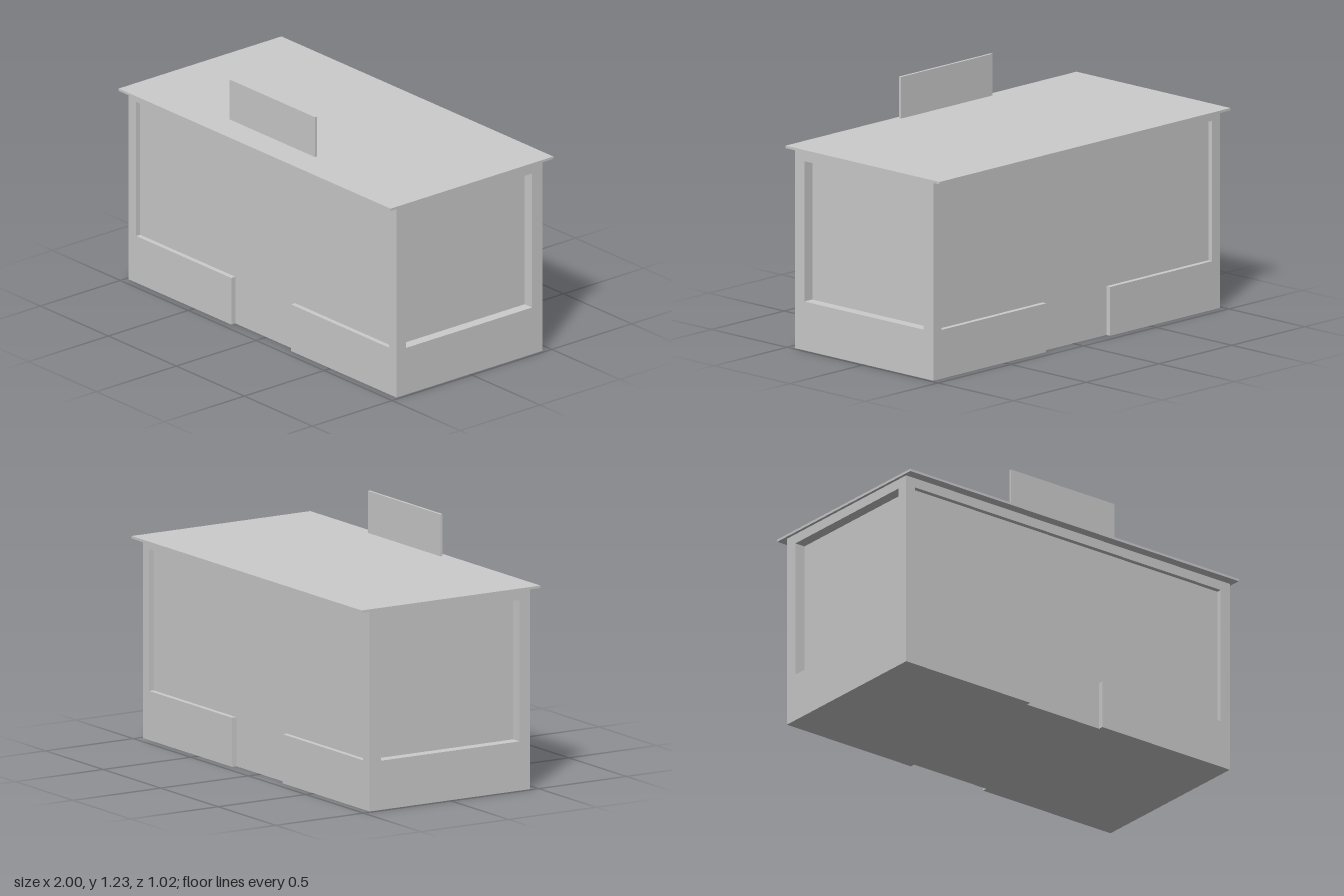
import * as THREE from 'three';

const mat = new THREE.MeshStandardMaterial({ color: 0xcccccc });

export function createModel() {
  const group = new THREE.Group();

  const add = (name, geometry) => {
    const mesh = new THREE.Mesh(geometry, mat);
    mesh.name = name;
    group.add(mesh);
    return mesh;
  };
  // box given by its min and max corners
  const box = (name, [x0, y0, z0], [x1, y1, z1]) =>
    add(name, new THREE.BoxGeometry(x1 - x0, y1 - y0, z1 - z0)
      .translate((x0 + x1) / 2, (y0 + y1) / 2, (z0 + z1) / 2));
  const polygon = (pts) => pts.map(([x, y]) => new THREE.Vector2(x, y));

  const outX = 0.985, inX = 0.93;          // outer wall and recessed panel
  const front = 0.46, back = -0.455;       // outer wall in z
  const recess = 0.025;                    // recess of the long walls
  const sill = 0.24, lintel = 0.93, top = 0.98;

  // recessed wall panels as one solid core
  box('wallPanels', [-inX, 0, back + recess], [inX, top, front - recess]);

  // end frames: corner posts, plinth and lintel around a window recess
  const end = new THREE.Shape(polygon([[-front, 0], [-back, 0], [-back, top], [-front, top]]));
  end.holes.push(new THREE.Path(polygon([[-0.40, sill], [-0.40, lintel], [0.39, lintel], [0.39, sill]])));
  for (const x of [inX, -outX]) {
    const geo = new THREE.ExtrudeGeometry(end, { depth: outX - inX, bevelEnabled: false });
    geo.rotateY(Math.PI / 2).translate(x, 0, 0); // shape x becomes -z
    add(x > 0 ? 'leftEndFrame' : 'rightEndFrame', geo);
  }

  // long walls: split plinth with a doorway gap, and a lintel
  for (const [side, z0, z1] of [['front', front - recess, front], ['back', back, back + recess]]) {
    box(side + 'PlinthRight', [-inX, 0, z0], [-0.23, sill, z1]);
    box(side + 'PlinthLeft', [0.21, 0, z0], [inX, sill, z1]);
    box(side + 'Lintel', [-inX, lintel, z0], [inX, top, z1]);
  }

  // thin overhanging roof and the sign board floating above it
  box('roof', [-1, 0.978, -0.51], [1, 0.99, 0.51]);
  box('signBoard', [-0.305, 1.02, 0.395], [0.325, 1.225, 0.408]);

  return group;
}
